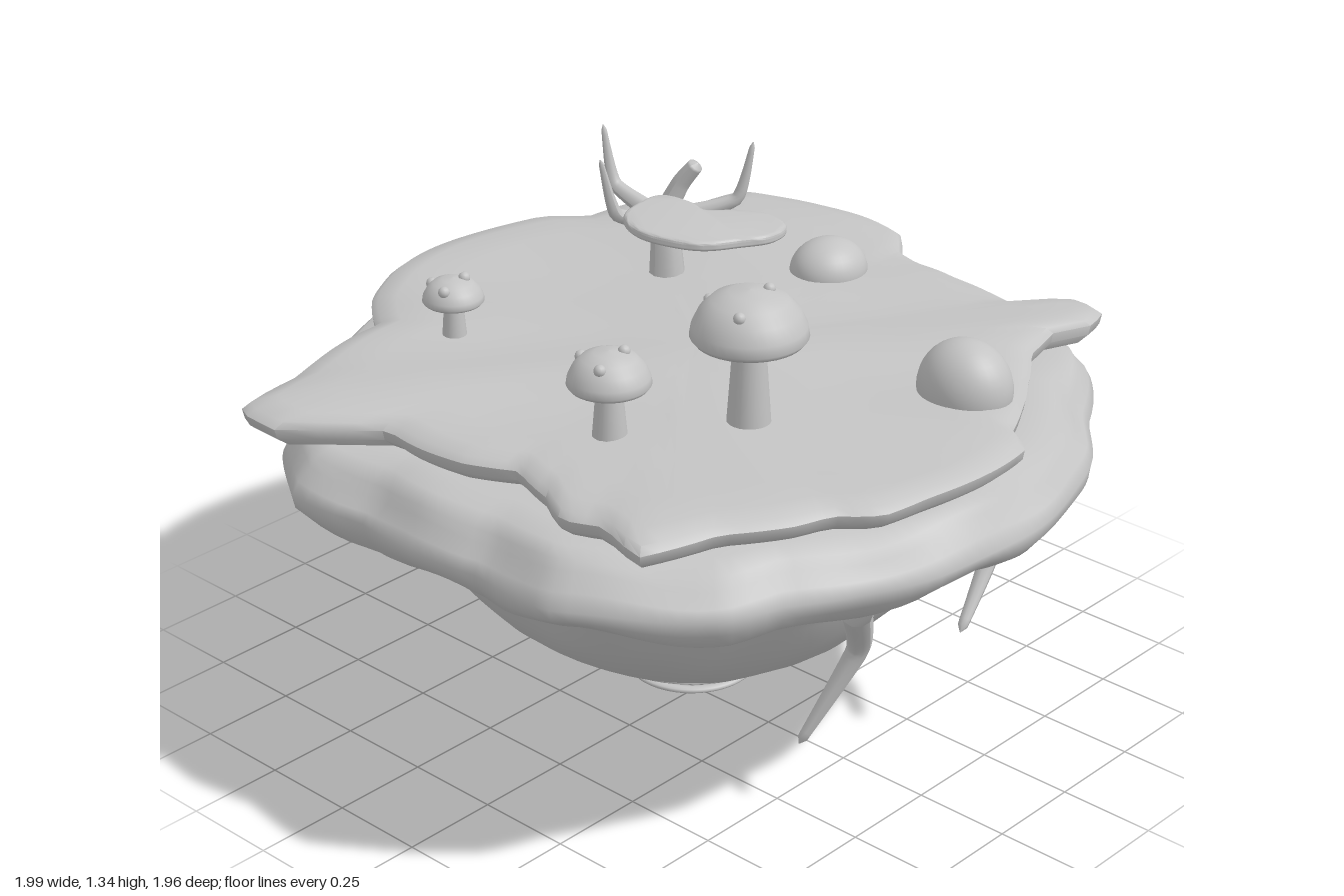
import * as THREE from 'three';
import { toCreasedNormals } from 'three/addons/utils/BufferGeometryUtils.js';

const stone = new THREE.MeshStandardMaterial({ color: 0xc4c4c4 });
stone.name = 'pale grey';
const V = (x, y, z) => new THREE.Vector3(x, y, z);

function part(name, geometry, x = 0, y = 0, z = 0) {
  const mesh = new THREE.Mesh(geometry, stone);
  mesh.name = name;
  mesh.position.set(x, y, z);
  return mesh;
}

// Radius of an [x, z] outline at any angle
function outline(points) {
  const polar = points.map(([x, z]) => [Math.atan2(z, x), Math.hypot(x, z)]).sort((p, q) => p[0] - q[0]);
  const n = polar.length;
  const ring = [
    [polar[n - 1][0] - 2 * Math.PI, polar[n - 1][1]], ...polar,
    [polar[0][0] + 2 * Math.PI, polar[0][1]],
  ];
  return (angle) => {
    const a = Math.atan2(Math.sin(angle), Math.cos(angle));
    let k = 0;
    while (k < n && ring[k + 1][0] < a) k++;
    const [a0, r0] = ring[k], [a1, r1] = ring[k + 1];
    return r0 + (r1 - r0) * (a - a0) / (a1 - a0 || 1);
  };
}

// Closed rings from top to bottom; at(row, angle) gives [x, y, z]
function loft(rows, at, segments = 160) {
  const pos = [], index = [];
  rows.forEach((row, i) => {
    for (let j = 0; j < segments; j++) {
      pos.push(...at(row, j / segments * Math.PI * 2));
      if (i === rows.length - 1) continue;
      const a = i * segments + j, b = i * segments + (j + 1) % segments;
      index.push(a, b, a + segments, b, b + segments, a + segments);
    }
  });
  const g = new THREE.BufferGeometry();
  g.setAttribute('position', new THREE.Float32BufferAttribute(pos, 3));
  g.setIndex(index);
  g.computeVertexNormals();
  return g;
}

// Tapered bent limb for roots and branches
function limb(name, points, r0, r1) {
  const steps = 24, sides = 10;
  const curve = new THREE.CatmullRomCurve3(points.map((p) => V(...p)), false, 'catmullrom', 0.25);
  const g = new THREE.TubeGeometry(curve, steps, 1, sides);
  const p = g.attributes.position, v = V();
  for (let i = 0; i <= steps; i++) {
    const c = curve.getPointAt(i / steps);
    const r = i === steps ? 0.001 : r0 + (r1 - r0) * i / steps;
    for (let j = 0; j <= sides; j++) {
      const k = i * (sides + 1) + j;
      v.fromBufferAttribute(p, k).sub(c).multiplyScalar(r).add(c);
      p.setXYZ(k, v.x, v.y, v.z);
    }
  }
  g.computeVertexNormals();
  return part(name, g);
}

function mushroom(name, x, z, stemR, capR, capY, topY, spots) {
  const g = new THREE.Group();
  g.name = name;
  g.position.set(x, 0, z);
  g.add(part('stem', new THREE.CylinderGeometry(stemR * 0.75, stemR * 1.1, capY - 0.94, 20), 0, (capY + 0.96) / 2));
  const h = topY - capY;
  const profile = [[0, 0.12], [0.6, 0.1], [0.93, 0], [1, 0.1], [0.97, 0.3], [0.85, 0.58], [0.65, 0.81], [0.35, 0.96], [0, 1]]
    .map(([r, y]) => new THREE.Vector2(r * capR, y * h));
  g.add(part('cap', new THREE.LatheGeometry(profile, 36), 0, capY));
  for (const [sx, sz] of spots) {
    const f = Math.min(1, Math.hypot(sx, sz) / capR);
    g.add(part('spot', new THREE.SphereGeometry(0.015, 12, 8), sx, capY + h * Math.sqrt(1 - f * f * 0.95), sz));
  }
  return g;
}

export function createModel() {
  const model = new THREE.Group();
  model.name = 'floatingIsland';

  // Rock with swollen rim and bowl-shaped underside
  const rimAt = outline([
    [1, 0.05], [0.98, -0.17], [0.93, -0.33], [0.85, -0.5], [0.75, -0.62], [0.6, -0.83], [0.45, -0.93],
    [0.2, -0.93], [0, -0.96], [-0.2, -0.99], [-0.35, -0.95], [-0.55, -0.82], [-0.66, -0.75], [-0.82, -0.6],
    [-0.95, -0.4], [-0.99, -0.1], [-1, 0.1], [-0.95, 0.33], [-0.83, 0.53], [-0.7, 0.68], [-0.59, 0.84],
    [-0.4, 0.97], [-0.2, 0.94], [0, 0.97], [0.2, 0.94], [0.43, 0.96], [0.62, 0.83], [0.75, 0.7],
    [0.8, 0.58], [0.9, 0.4], [0.97, 0.25],
  ]);
  // Each row: height, radius, share of the rim outline, lumpiness
  const rockRows = [
    [0.91, 0, 1, 0], [0.91, 0.5, 1, 0], [0.905, 0.82, 1, 0], [0.9, 0.9, 1, 0.3], [0.875, 0.94, 1, 0.6],
    [0.85, 0.955, 1, 0.8], [0.82, 0.985, 1, 0.6], [0.79, 1, 1, 0.3], [0.755, 0.995, 1, 0.5], [0.72, 0.97, 1, 1],
    [0.69, 0.925, 1, 1], [0.665, 0.86, 0.9, 1], [0.645, 0.79, 0.75, 0.9], [0.62, 0.745, 0.5, 0.7],
    [0.58, 0.7, 0.35, 0.5], [0.52, 0.665, 0.25, 0.5], [0.46, 0.63, 0.15, 0.5], [0.4, 0.585, 0.1, 0.5],
    [0.34, 0.525, 0.05, 0.4], [0.28, 0.45, 0, 0.3], [0.22, 0.36, 0, 0.2], [0.165, 0.26, 0, 0.1],
    [0.13, 0.16, 0, 0], [0.105, 0.07, 0, 0], [0.1, 0, 0, 0],
  ];
  model.add(part('rock', loft(rockRows, ([y, f, share, lump], a) => {
    const n = Math.sin(a * 5 + y * 9) + 0.7 * Math.sin(a * 11 - y * 14 + 1) + 0.5 * Math.sin(a * 19 + y * 25);
    const r = f * (share * rimAt(a) + (1 - share)) - lump * 0.012 * (1 + n * 0.6);
    const wave = lump * share * 0.014 * (Math.sin(a * 6 + 1) + Math.sin(a * 13));
    return [r * Math.cos(a) - 0.02 * (1 - share), y + wave, r * Math.sin(a)];
  })));

  // Ragged thin slab on top
  const turfAt = outline([
    [0.9, -0.16], [0.9, 0.2], [0.88, 0.34], [0.8, 0.42], [0.77, 0.52], [0.68, 0.66], [0.61, 0.85], [0.46, 0.8],
    [0.36, 0.83], [0.25, 0.77], [0.12, 0.73], [0, 0.79], [-0.25, 0.79], [-0.37, 0.9], [-0.43, 0.97],
    [-0.58, 0.97], [-0.62, 0.78], [-0.67, 0.63], [-0.69, 0.43], [-0.85, 0.3], [-0.91, 0.18], [-0.91, -0.36],
    [-0.82, -0.45], [-0.8, -0.59], [-0.66, -0.63], [-0.62, -0.86], [-0.45, -0.93], [-0.1, -0.92],
    [-0.04, -0.84], [0.05, -0.81], [0.2, -0.79], [0.4, -0.77], [0.47, -0.9], [0.58, -0.89], [0.62, -0.79],
    [0.58, -0.68], [0.61, -0.55], [0.7, -0.42], [0.77, -0.31], [0.83, -0.19],
  ]);
  const turfRows = [[0, 0.985], [0.2, 0.985], [0.4, 0.982], [0.6, 0.98], [0.8, 0.978], [0.92, 0.975],
    [0.98, 0.965], [1, 0.95], [0.995, 0.925], [0.97, 0.905], [0.85, 0.895], [0, 0.89]];
  const turf = loft(turfRows, ([f, y], a) => {
    const r = f * turfAt(a), x = r * Math.cos(a), z = r * Math.sin(a);
    return [x, y + 0.007 * Math.sin(x * 6 + 1) * Math.cos(z * 5) + 0.005 * Math.sin(x * 13 + z * 9), z];
  });
  model.add(part('turf', toCreasedNormals(turf, 0.8)));

  // Mushrooms
  model.add(
    mushroom('largeMushroom', 0.375, 0.225, 0.05, 0.14, 1.19, 1.315, [[0.02, -0.045], [-0.125, 0], [0.045, 0.085]]),
    mushroom('mediumMushroom', 0.18, 0.49, 0.04, 0.1, 1.1, 1.19, [[0.02, -0.03], [-0.085, 0.005], [0.03, 0.06]]),
    mushroom('smallMushroom', -0.485, 0.355, 0.03, 0.077, 1.065, 1.13, [[0.015, -0.025], [-0.07, 0.005], [0.022, 0.05]]),
  );

  // Boulders
  for (const [x, y, z, sx, sy, sz] of [[0.64, 0.985, -0.25, 0.122, 0.122, 0.107], [-0.07, 0.975, -0.58, 0.097, 0.085, 0.107]]) {
    const b = part('boulder', new THREE.SphereGeometry(1, 32, 20), x, y, z);
    b.scale.set(sx, sy, sz);
    model.add(b);
  }

  // Bare tree
  const tree = new THREE.Group();
  tree.name = 'bareTree';
  tree.add(
    limb('trunk', [[-0.36, 0.94, -0.28], [-0.365, 1.06, -0.28], [-0.38, 1.18, -0.28]], 0.05, 0.03),
    limb('branch', [[-0.38, 1.12, -0.28], [-0.53, 1.18, -0.265], [-0.565, 1.335, -0.26]], 0.03, 0.006),
    limb('branch', [[-0.37, 1.12, -0.28], [-0.23, 1.18, -0.4], [-0.2, 1.335, -0.43]], 0.03, 0.006),
    limb('branch', [[-0.37, 1.12, -0.28], [-0.385, 1.18, -0.12], [-0.4, 1.335, -0.08]], 0.03, 0.006),
    limb('branch', [[-0.38, 1.12, -0.28], [-0.34, 1.22, -0.31], [-0.3, 1.28, -0.33]], 0.03, 0.02),
  );
  model.add(tree);

  // Kidney-shaped floating slab
  const kidney = [[-0.18, -0.07], [-0.11, -0.09], [-0.05, -0.08], [0, -0.14], [0.06, -0.18], [0.13, -0.165], [0.15, -0.1],
    [0.12, -0.02], [0.08, 0.06], [0.02, 0.1], [-0.07, 0.12], [-0.15, 0.08], [-0.18, 0]];
  const edge = new THREE.CatmullRomCurve3(kidney.map(([x, z]) => V(x, z, 0)), true).getPoints(60);
  const slabGeo = new THREE.ExtrudeGeometry(new THREE.Shape(edge.slice(0, -1).map((p) => new THREE.Vector2(p.x, p.y))), {
    depth: 0.008, bevelThickness: 0.009, bevelSize: 0.012, bevelSegments: 3,
  });
  slabGeo.rotateX(Math.PI / 2);
  const slab = part('floatingSlab', toCreasedNormals(slabGeo, 0.7), 0, 1.29, 0);
  slab.rotation.set(-0.04, 0, -0.04);
  model.add(slab);

  // Hanging roots
  const roots = [
    [[0.68, 0.56, 0.18], [0.635, 0.42, 0.12], [0.55, 0.17, 0.23]],
    [[0.66, 0.66, -0.3], [0.625, 0.47, -0.4], [0.65, 0.31, -0.26]],
    [[-0.12, 0.48, -0.57], [-0.13, 0.37, -0.56], [-0.1, 0.21, -0.55]],
    [[-0.76, 0.7, 0.15], [-0.735, 0.5, 0.14], [-0.7, 0.32, 0.15]],
    [[-0.53, 0.65, 0.54], [-0.43, 0.5, 0.55], [-0.465, 0.38, 0.5]],
  ];
  roots.forEach((p, i) => model.add(limb('root', p, i === 3 ? 0.05 : 0.038, 0.012)));

  // Rings and crystal beneath
  for (const [name, r, tube, y] of [['crystalRing', 0.153, 0.014, 0.072], ['upperRing', 0.265, 0.01, 0.162]]) {
    const ring = part(name, new THREE.TorusGeometry(r, tube, 10, 64), -0.025, y, -0.01);
    ring.rotation.x = Math.PI / 2;
    ring.scale.z = 0.6;
    model.add(ring);
  }
  const crystal = new THREE.ConeGeometry(0.042, 0.085, 6).toNonIndexed();
  crystal.rotateX(Math.PI);
  crystal.computeVertexNormals();
  model.add(part('crystal', crystal, -0.02, 0.0425, 0));
  model.add(part('crystalStem', new THREE.CylinderGeometry(0.05, 0.04, 0.05, 6), -0.02, 0.105, 0));
  return model;
}
